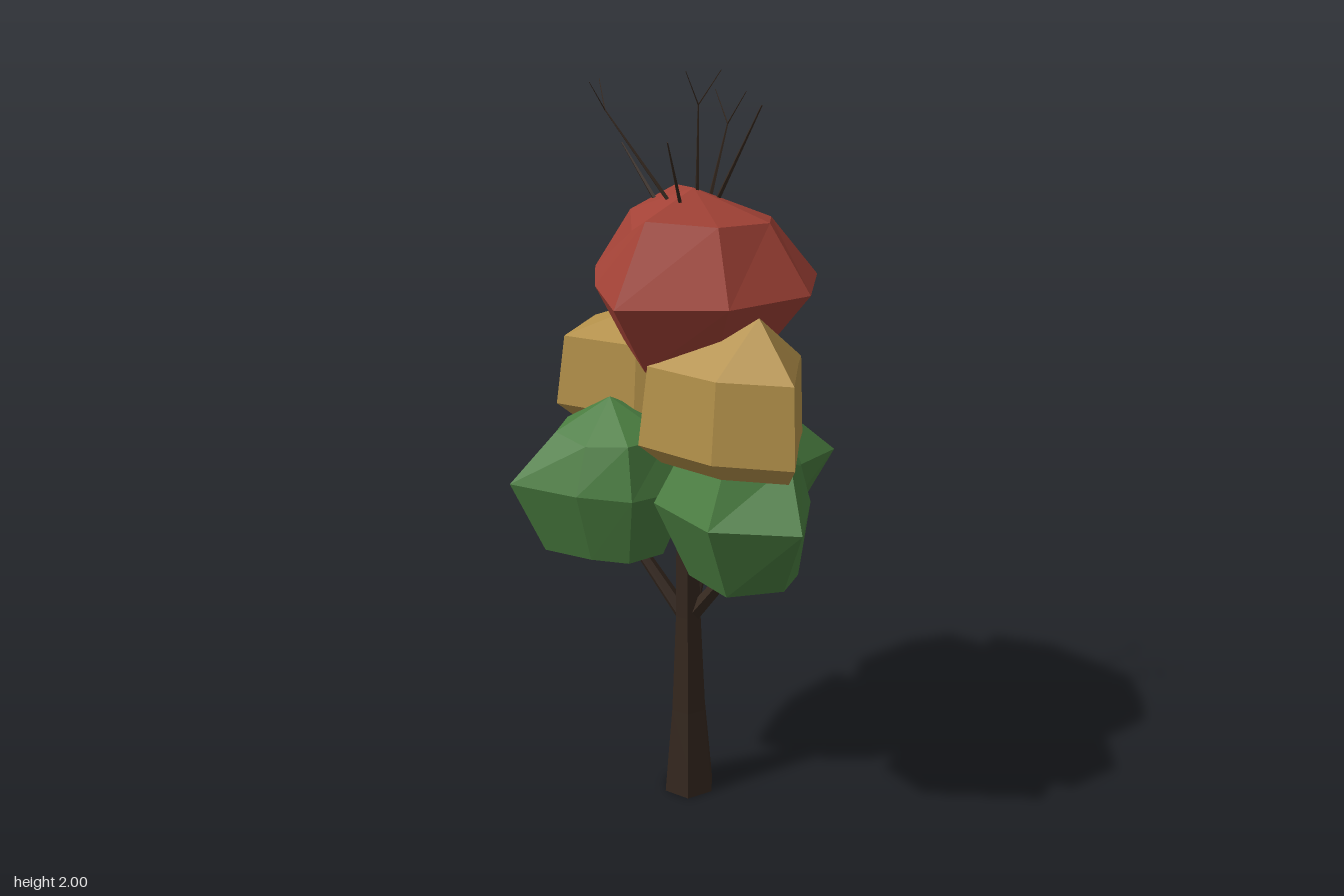
import * as THREE from 'three';

const material = (color) => new THREE.MeshStandardMaterial({ color, flatShading: true });
const bark = material(0x35281f);
const red = material(0xa24236);
const gold = material(0xb4914a);
const green = material(0x4a7d40);

// Eight-sided faceted leaf clump. Each ring, top to bottom, is a height,
// a rise per unit of radius, and eight radii starting at +x and turning to +z.
function clump(name, mat, [cx, cz], top, bottomY, rings) {
  const n = 8;
  const pos = [...top];
  for (const { y, rise = 0, r } of rings) {
    r.forEach((d, i) => {
      const a = (i / n) * Math.PI * 2;
      pos.push(cx + d * Math.cos(a), y + rise * d, cz + d * Math.sin(a));
    });
  }
  pos.push(cx, bottomY, cz);
  const last = pos.length / 3 - 1;
  const at = (ring, i) => 1 + ring * n + (i % n);
  const index = [];
  for (let i = 0; i < n; i++) {
    index.push(0, at(0, i + 1), at(0, i));
    for (let k = 0; k < rings.length - 1; k++) {
      index.push(at(k, i), at(k, i + 1), at(k + 1, i + 1));
      index.push(at(k, i), at(k + 1, i + 1), at(k + 1, i));
    }
    const k = rings.length - 1;
    index.push(at(k, i), at(k, i + 1), last);
  }
  const geometry = new THREE.BufferGeometry();
  geometry.setAttribute('position', new THREE.Float32BufferAttribute(pos, 3));
  geometry.setIndex(index);
  geometry.computeVertexNormals();
  const mesh = new THREE.Mesh(geometry, mat);
  mesh.name = name;
  return mesh;
}

// Tapered stick between two points
function stick(name, from, to, r0, r1, sides = 5) {
  const a = new THREE.Vector3(...from);
  const b = new THREE.Vector3(...to);
  const dir = b.clone().sub(a);
  const mesh = new THREE.Mesh(new THREE.CylinderGeometry(r1, r0, dir.length(), sides), bark);
  mesh.position.copy(a).add(b).multiplyScalar(0.5);
  mesh.quaternion.setFromUnitVectors(new THREE.Vector3(0, 1, 0), dir.normalize());
  mesh.name = name;
  return mesh;
}

const scaled = (radii, s) => radii.map((v) => v * s);

export function createModel() {
  const tree = new THREE.Group();
  tree.name = 'tree';

  // Six-sided trunk flaring at the foot
  const profile = [[0, 0], [0.076, 0], [0.067, 0.1], [0.052, 0.26], [0.038, 0.55], [0.034, 0.85], [0.025, 1.3], [0, 1.3]];
  const trunk = new THREE.Mesh(
    new THREE.LatheGeometry(profile.map(([x, y]) => new THREE.Vector2(x, y)), 6, Math.PI / 6), bark);
  trunk.position.set(-0.021, 0, 0.062);
  trunk.name = 'trunk';
  tree.add(trunk);

  // Branches reaching into the lower clumps
  tree.add(
    stick('leftwardBranch', [-0.035, 0.54, 0.06], [-0.24, 0.8, 0.08], 0.023, 0.015),
    stick('rightwardBranch', [-0.015, 0.54, 0.06], [0.18, 0.8, 0.06], 0.023, 0.015),
    stick('backBranch', [-0.02, 0.55, 0.05], [0.0, 0.72, 0.02], 0.023, 0.02),
    stick('backBranchTip', [0.0, 0.71, 0.022], [0.02, 0.88, -0.08], 0.02, 0.015),
  );

  // Lower green clumps
  const greens = [
    ['greenClumpSide', [-0.17, 0.17], [-0.19, 1.18, 0.17], 0.76,
      [0.16, 0.16, 0.14, 0.16, 0.16, 0.19, 0.16, 0.16],
      [0.21, 0.2, 0.185, 0.285, 0.27, 0.31, 0.22, 0.2],
      [0.14, 0.14, 0.13, 0.2, 0.17, 0.19, 0.15, 0.14], 0.77],
    ['greenClumpFront', [0.23, 0.07], [0.23, 1.14, 0.08], 0.725,
      [0.09, 0.18, 0.21, 0.21, 0.17, 0.14, 0.1, 0.08],
      [0.12, 0.29, 0.3, 0.3, 0.22, 0.19, 0.13, 0.1],
      [0.09, 0.15, 0.21, 0.21, 0.15, 0.13, 0.1, 0.08], 0.755],
    ['greenClumpBack', [0.03, -0.11], [0.03, 1.16, -0.12], 0.77,
      [0.13, 0.16, 0.15, 0.17, 0.19, 0.22, 0.14, 0.14],
      [0.17, 0.18, 0.18, 0.22, 0.31, 0.385, 0.32, 0.28],
      [0.12, 0.13, 0.13, 0.15, 0.18, 0.2, 0.17, 0.17], 0.78],
  ];
  for (const [name, centre, top, bottom, upper, middle, lower, lowY] of greens) {
    tree.add(clump(name, green, centre, top, bottom, [
      { y: 1.0, rise: 0.62, r: upper },
      { y: 0.965, r: middle },
      { y: lowY, r: lower },
    ]));
  }

  // Middle golden clumps: steep walls over a narrow undercut lip
  const golds = [
    ['goldClumpBack', [-0.13, -0.07], [-0.13, 1.42, -0.07],
      [0.2, 0.2, 0.22, 0.335, 0.3, 0.3, 0.21, 0.215], 1.315],
    ['goldClumpFront', [0.23, 0.1], [0.25, 1.45, 0.17],
      [0.1, 0.265, 0.255, 0.32, 0.31, 0.2, 0.12, 0.1], 1.33],
  ];
  for (const [name, centre, top, wall, shoulder] of golds) {
    tree.add(clump(name, gold, centre, top, 1.1, [
      { y: shoulder, r: scaled(wall, 0.92) },
      { y: 1.13, r: wall },
      { y: 1.08, r: scaled(wall, 0.82) },
    ]));
  }

  // Red crown
  tree.add(clump('redCrown', red, [0.01, 0.06], [0.0, 1.72, 0.06], 1.275, [
    { y: 1.49, rise: 0.8, r: [0.205, 0.215, 0.23, 0.165, 0.2, 0.25, 0.18, 0.19] },
    { y: 1.49, r: [0.32, 0.32, 0.365, 0.26, 0.315, 0.39, 0.27, 0.315] },
    { y: 1.49, rise: -0.75, r: [0.2, 0.2, 0.24, 0.19, 0.23, 0.24, 0.19, 0.2] },
  ]));

  // Bare twigs above the crown, some forked: base, end, fork tips
  const twigs = [
    [[-0.065, 1.68, 0.07], [-0.215, 1.9, 0.125], [-0.255, 1.97, 0.09], [-0.22, 1.97, 0.18]],
    [[-0.155, 1.67, 0], [-0.275, 1.8, -0.03]],
    [[0, 1.67, -0.01], [0.01, 1.86, -0.085], [-0.035, 1.94, -0.1], [0.06, 1.94, -0.09]],
    [[0.05, 1.69, 0.03], [0.155, 1.92, 0]],
    [[0.01, 1.69, 0.06], [0.02, 1.92, 0.07], [0.06, 2, 0.03], [0.01, 2, 0.11]],
    [[0.015, 1.68, 0.14], [0.035, 1.85, 0.23]],
  ];
  for (const [base, end, ...tips] of twigs) {
    tree.add(stick('twig', base, end, 0.006, 0.002, 4));
    for (const tip of tips) tree.add(stick('twigFork', end, tip, 0.002, 0.001, 4));
  }
  return tree;
}
